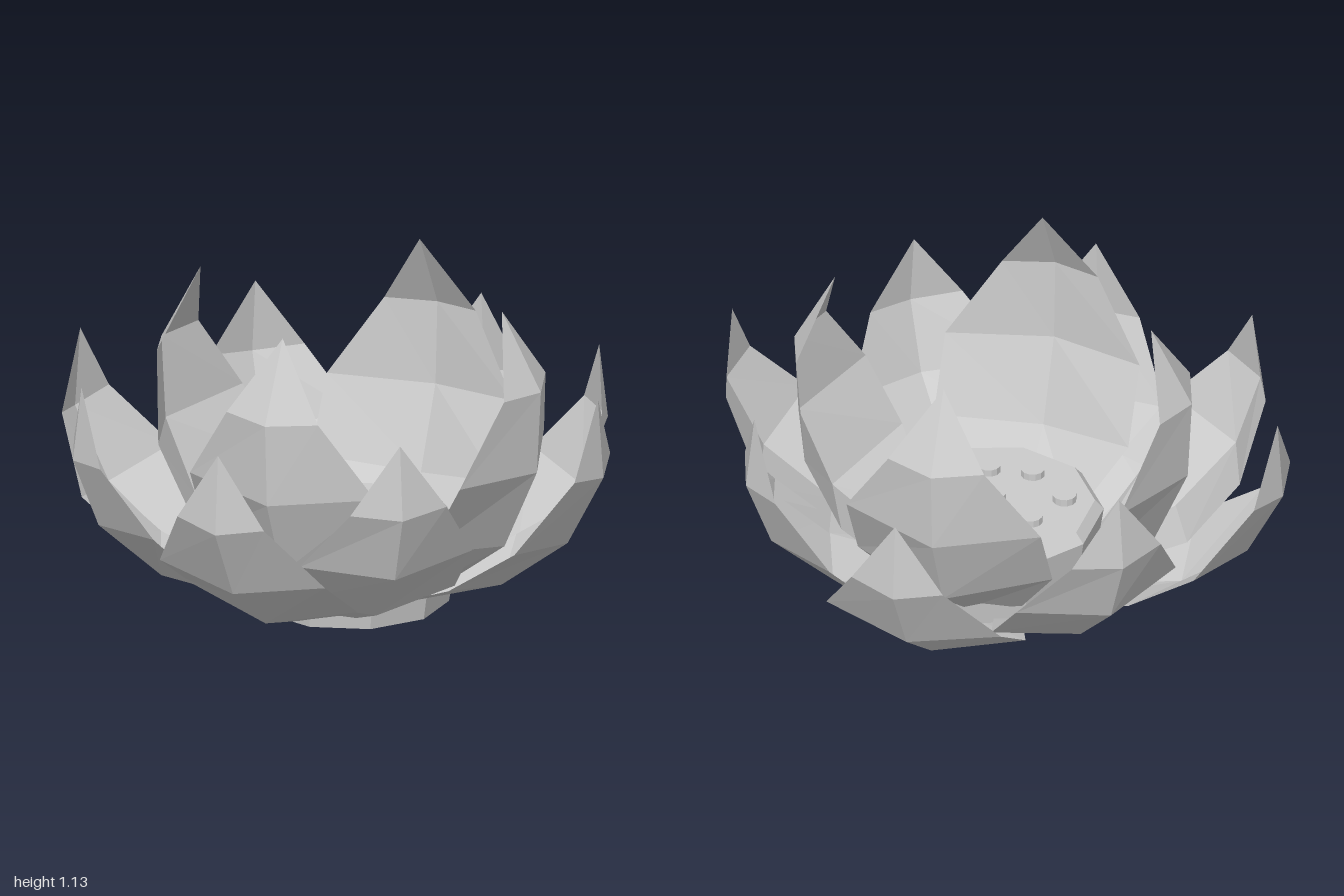
import * as THREE from 'three';

const material = new THREE.MeshStandardMaterial({ color: 0xcccccc, flatShading: true, side: THREE.DoubleSide });

// Each row, base to shoulder: [centre radius, centre y, half width, edge radius, edge y]; the tip is [radius, y].
// Each place is one petal: [angle in degrees, x, y, z].
const RINGS = {
  innerPetal: {
    rows: [[0.29, 0.09, 0.19, 0.28, 0.13], [0.57, 0.3, 0.345, 0.43, 0.36], [0.69, 0.58, 0.345, 0.56, 0.61], [0.705, 0.87, 0.17, 0.645, 0.88]],
    tip: [0.56, 1.14],
    places: [0, 90, 180, 270].map((a) => [a, 0.035, 0, 0.02]),
  },
  middlePetal: {
    rows: [[0.26, 0.05, 0.16, 0.25, 0.09], [0.58, 0.17, 0.3, 0.5, 0.22], [0.8, 0.37, 0.305, 0.69, 0.41], [0.89, 0.61, 0.17, 0.84, 0.63]],
    tip: [0.86, 0.87],
    places: [[41, -0.03, 0, 0.07], [125, 0.01, 0, -0.02], [225, -0.005, 0, -0.015], [309.5, -0.035, 0, 0.065]],
  },
  outerPetal: {
    rows: [[0.22, 0.03, 0.17, 0.2, 0.055], [0.62, 0.14, 0.315, 0.55, 0.21], [0.86, 0.32, 0.315, 0.79, 0.37], [0.99, 0.57, 0.165, 0.95, 0.6]],
    tip: [0.97, 0.85],
    places: [[-3, 0.01, -0.025, -0.025], [93, 0.01, 0.05, 0.13], [177, 0.03, -0.025, 0.025], [265.5, -0.01, 0, 0.085]],
  },
};

// Cupped petal: three points across every row, closed by a pointed tip.
function petalGeometry({ rows, tip }) {
  const points = [];
  const faces = [];
  for (const [r, y, w, er, ey] of rows) points.push(-w, ey, er, 0, y, r, w, ey, er);
  points.push(0, tip[1], tip[0]);
  const last = rows.length - 1;
  for (let i = 0; i <= last; i++) {
    for (let j = 0; j < 2; j++) {
      const a = i * 3 + j;
      if (i < last) faces.push(a, a + 1, a + 4, a, a + 4, a + 3);
      else faces.push(a, a + 1, rows.length * 3);
    }
  }
  const geometry = new THREE.BufferGeometry();
  geometry.setAttribute('position', new THREE.Float32BufferAttribute(points, 3));
  geometry.setIndex(faces);
  geometry.computeVertexNormals();
  return geometry;
}

export function createModel() {
  const model = new THREE.Group();
  model.name = 'lotusFlower';

  function add(name, geometry, x, y, z, turn = 0) {
    const mesh = new THREE.Mesh(geometry, material);
    mesh.name = name;
    mesh.position.set(x, y, z);
    mesh.rotation.y = turn;
    model.add(mesh);
  }

  // Three rings of four petals
  for (const [name, ring] of Object.entries(RINGS)) {
    const geometry = petalGeometry(ring);
    for (const [angle, x, y, z] of ring.places) add(name, geometry, x, y, z, THREE.MathUtils.degToRad(angle));
  }

  // Ten-sided seed pod with a chamfered rim
  const profile = [[0, 0.04], [0.335, 0.04], [0.375, 0.3], [0.345, 0.335], [0, 0.335]].map(([r, y]) => new THREE.Vector2(r, y));
  add('seedPod', new THREE.LatheGeometry(profile, 10), 0.04, 0, 0.035);

  // Seeds scattered on the pod
  const seed = new THREE.CylinderGeometry(0.041, 0.041, 0.04, 12);
  const spots = [[0.05, -0.17], [-0.12, -0.05], [0.19, -0.04], [0.28, 0.08], [0.04, 0.05], [-0.19, 0.11], [0.11, 0.21], [-0.04, 0.23]];
  for (const [x, z] of spots) add('seed', seed, x, 0.34, z);

  return model;
}
